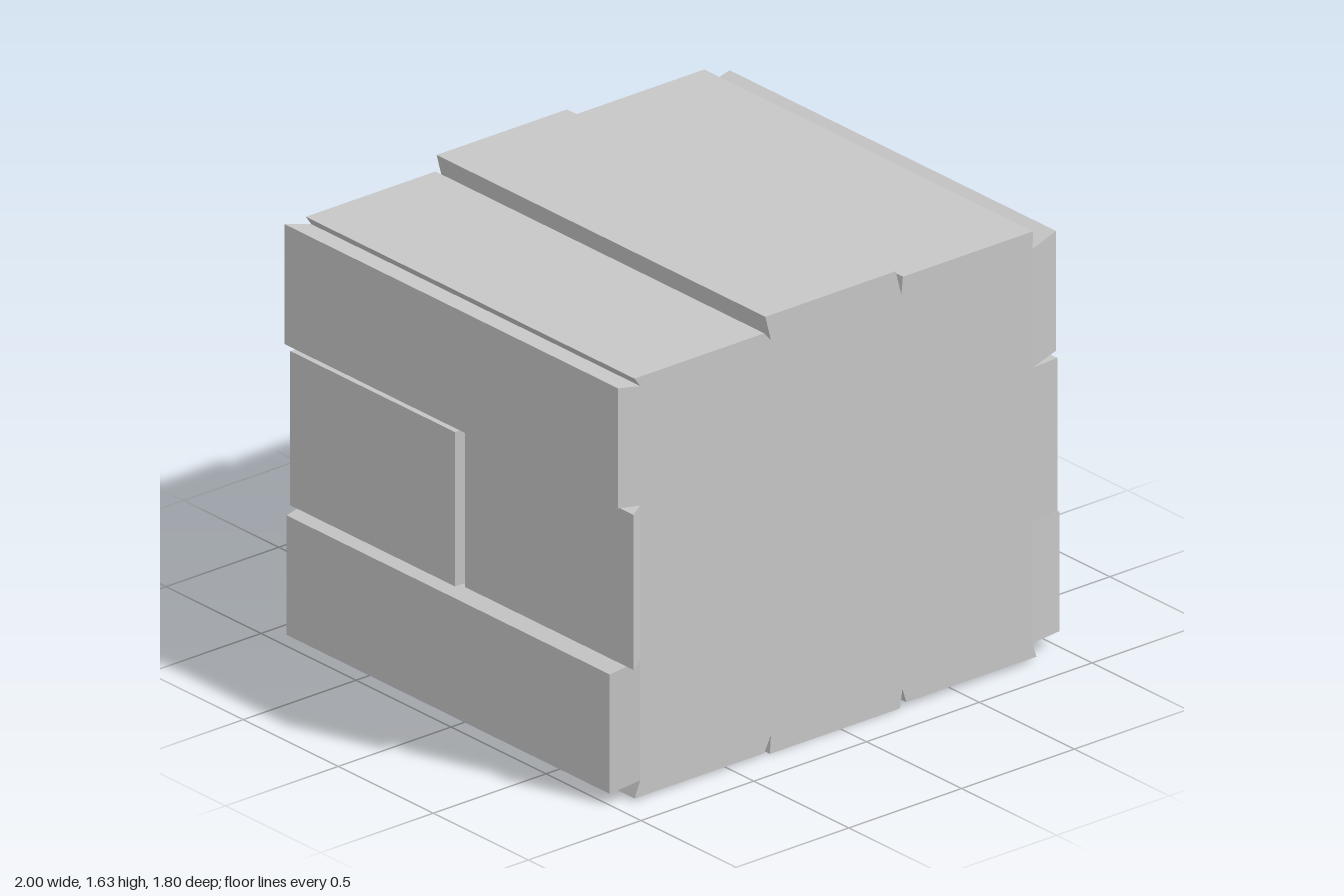
import * as THREE from 'three';

const grey = new THREE.MeshStandardMaterial({ color: 0xc6c6c6 });
grey.name = 'grey';

// A plank tapers from its base (on the core) to its tip (outer face).
// Each end is { d: position along the outward axis, z: [back, front],
// front: [low, high] width range, back: the same range at the rear end }.
function plank(name, axis, base, tip) {
  const geometry = new THREE.BoxGeometry(2, 2, 2);
  const p = geometry.attributes.position;
  const outward = Math.sign(tip.d - base.d);
  for (let i = 0; i < p.count; i++) {
    const c = { x: p.getX(i), y: p.getY(i) };
    const end = c[axis] === outward ? tip : base;
    const isFront = p.getZ(i) > 0;
    const range = isFront ? end.front : (end.back || end.front);
    const across = range[(axis === 'x' ? c.y : c.x) > 0 ? 1 : 0];
    const z = end.z[isFront ? 1 : 0];
    if (axis === 'x') p.setXYZ(i, end.d, across, z);
    else p.setXYZ(i, across, end.d, z);
  }
  geometry.computeVertexNormals();
  const mesh = new THREE.Mesh(geometry, grey);
  mesh.name = name;
  return mesh;
}

export function createModel() {
  const group = new THREE.Group();
  group.name = 'plankedCrate';
  const L = -0.89, R = 0.85, B = 0.07, T = 1.54, Z = [-0.865, 0.865];

  // Solid core, flush with the plank ends
  const core = new THREE.Mesh(new THREE.BoxGeometry(R - L, T - B, 1.73), grey);
  core.name = 'core';
  core.position.set((L + R) / 2, (T + B) / 2, 0);
  group.add(core);

  // Top and bottom planks: [name, base height, base range, tip height, tip range]
  [
    ['topPlankLeftEdge', T, [L, -0.31], 1.575, [-0.915, -0.34]],
    ['topPlankMiddle', T, [-0.31, 0.268], 1.635, [-0.335, 0.243]],
    ['topPlankRightEdge', T, [0.268, R], 1.605, [0.275, 0.852]],
    ['bottomPlankLeftEdge', B, [L, -0.31], 0.01, [-0.915, -0.34]],
    ['bottomPlankMiddle', B, [-0.31, 0.273], 0, [-0.315, 0.262]],
    ['bottomPlankRightEdge', B, [0.273, R], 0.015, [0.29, 0.867]],
  ].forEach(([name, d0, r0, d1, r1]) => group.add(
    plank(name, 'y', { d: d0, front: r0, z: Z }, { d: d1, front: r1, z: Z })));

  // Planks on the +x side, with skewed seams between them
  group.add(
    plank('sidePlankUpper', 'x',
      { d: R, front: [1.097, T], back: [1.06, T], z: Z },
      { d: 0.96, front: [1.125, 1.572], back: [1.085, 1.572], z: [-0.86, 0.857] }),
    plank('sidePlankCentre', 'x',
      { d: R, front: [0.52, 1.097], back: [0.555, 1.06], z: Z },
      { d: 0.96, front: [0.527, 1.102], back: [0.567, 1.06], z: [-0.86, 0.865] }),
    plank('sidePlankLower', 'x',
      { d: R, front: [B, 0.52], back: [B, 0.555], z: Z },
      { d: 1, front: [0.058, 0.505], back: [0.058, 0.55], z: [-0.903, 0.828] }));

  // Planks on the -x side; the centre one is split into two short boards
  group.add(
    plank('farPlankUpper', 'x',
      { d: L, front: [1.095, T], z: Z },
      { d: -0.988, front: [1.113, 1.56], z: [-0.89, 0.865] }),
    plank('farPlankCentreFront', 'x',
      { d: L, front: [0.517, 1.095], z: [0, 0.865] },
      { d: -0.95, front: [0.512, 1.09], z: [0.015, 0.9] }),
    plank('farPlankCentreBack', 'x',
      { d: L, front: [0.517, 1.095], z: [-0.865, 0] },
      { d: -0.97, front: [0.51, 1.085], z: [-0.882, -0.015] }),
    plank('farPlankLower', 'x',
      { d: L, front: [B, 0.517], z: Z },
      { d: -1, front: [0.042, 0.487], z: [-0.865, 0.835] }));

  return group;
}
